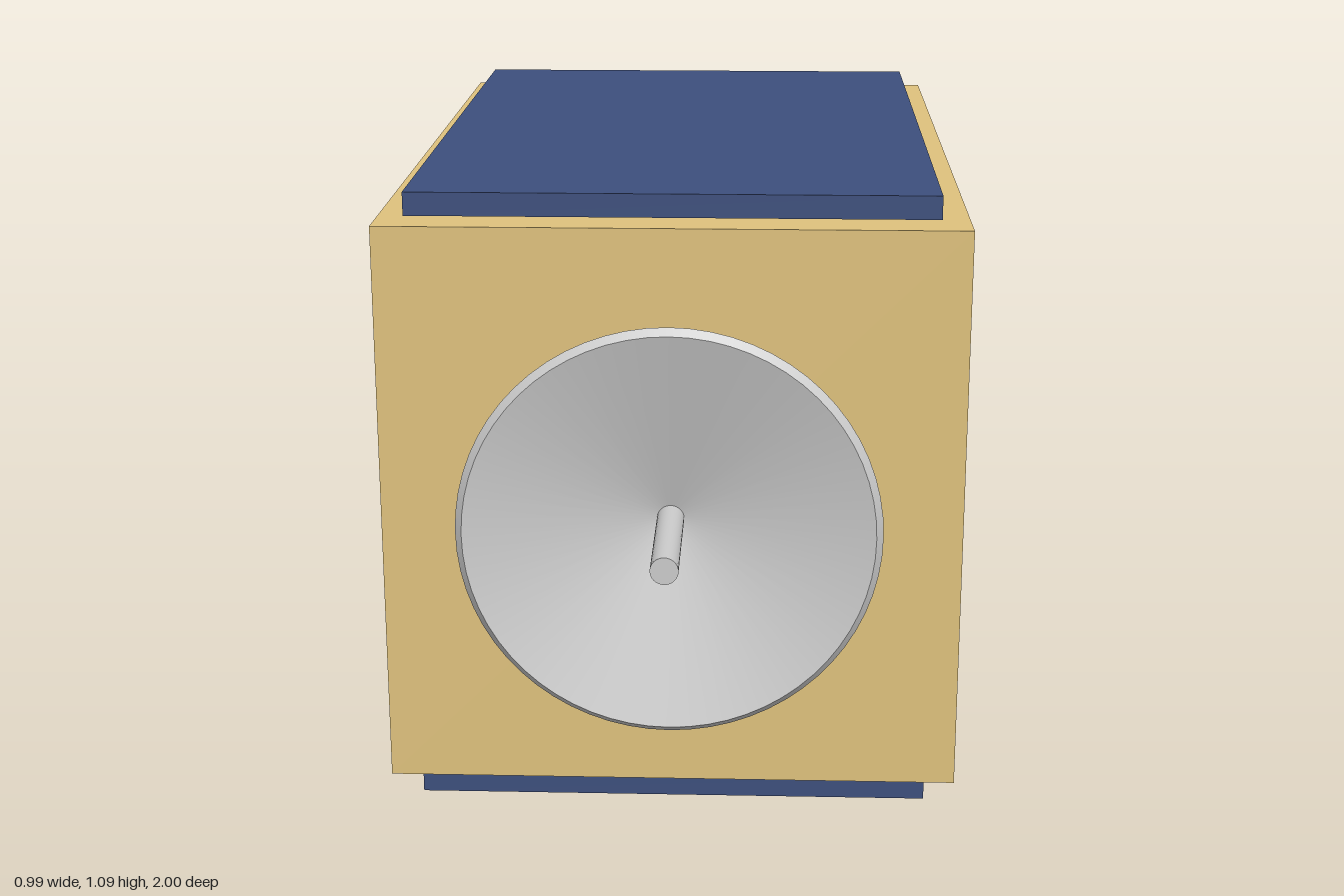
import * as THREE from 'three';

export function createModel() {
  const model = new THREE.Group();
  const gold = new THREE.MeshStandardMaterial({ color: 0xdfc27d });
  const blue = new THREE.MeshStandardMaterial({ color: 0x3d4f7d });
  const grey = new THREE.MeshStandardMaterial({ color: 0xcccccc });
  const axisY = 0.545;

  const add = (name, geometry, material, y, z) => {
    const mesh = new THREE.Mesh(geometry, material);
    mesh.name = name;
    mesh.position.set(0, y, z);
    model.add(mesh);
  };

  // Box-shaped body
  add('body', new THREE.BoxGeometry(0.99, 0.99, 1.472), gold, axisY, 0);

  // Solar panels floating just above and below the body
  for (const [name, y] of [['topPanel', 1.07], ['bottomPanel', 0.02]]) {
    add(name, new THREE.BoxGeometry(0.89, 0.04, 1.308), blue, y, 0.046);
  }

  // Engine nozzle, flaring towards the back and closed at the end
  const nozzle = new THREE.CylinderGeometry(0.29, 0.45, 0.264, 64).rotateX(Math.PI / 2);
  add('nozzle', nozzle, grey, axisY, -0.868);

  // Shallow dish: outer cone, bevelled rim and inner cone, each with its own normals
  const profile = [[0, 0.736], [0.355, 0.834], [0.343, 0.848], [0, 0.751]];
  ['dishBack', 'dishRim', 'dishFace'].forEach((name, i) => {
    const points = [profile[i], profile[i + 1]].map(([r, z]) => new THREE.Vector2(r, z));
    add(name, new THREE.LatheGeometry(points, 64).rotateX(Math.PI / 2), grey, axisY, 0);
  });

  // Antenna feed rod in the middle of the dish
  const rod = new THREE.CylinderGeometry(0.023, 0.023, 0.25, 32).rotateX(Math.PI / 2);
  add('feedRod', rod, grey, axisY, 0.875);

  return model;
}
